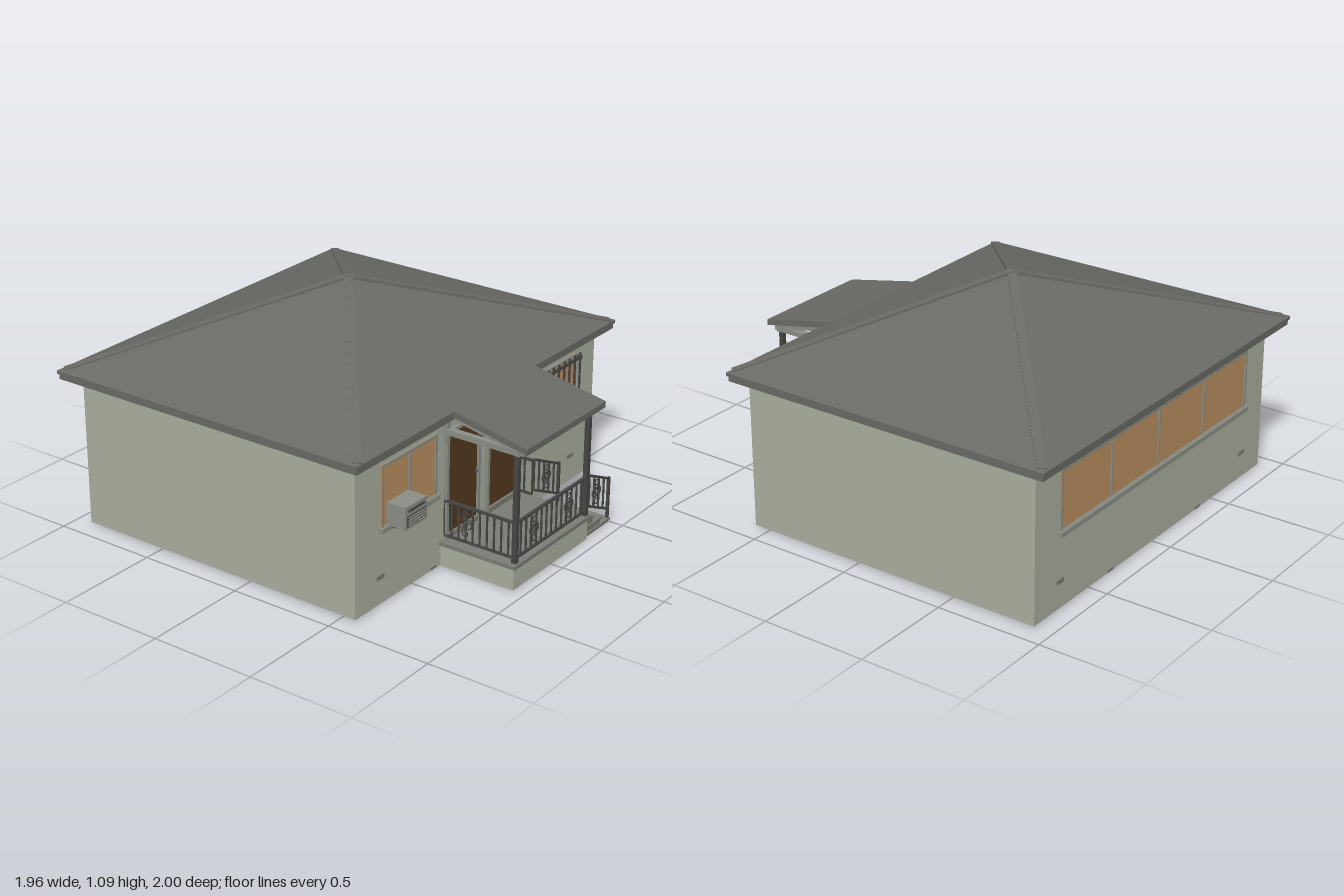
import * as THREE from 'three';

const mat = (name, color, side = THREE.FrontSide) => {
  const m = new THREE.MeshStandardMaterial({ color, side });
  m.name = name;
  return m;
};

export function createModel() {
  const wall = mat('wall paint', 0xaaae9e);
  const roofing = mat('roofing', 0x696965);
  const trim = mat('trim', 0x8b8e86);
  const glass = mat('window pane', 0xb98f62);
  const wood = mat('door wood', 0x543a1e);
  const iron = mat('iron', 0x464644);
  const stone = mat('concrete', 0x7b7c75);

  const house = new THREE.Group();
  house.name = 'house';
  const group = (name, parent = house) => {
    const g = new THREE.Group();
    g.name = name;
    parent.add(g);
    return g;
  };
  const add = (parent, name, geo, material) => {
    const m = new THREE.Mesh(geo, material);
    m.name = name;
    parent.add(m);
    return m;
  };
  // box given by its two extreme corners
  const box = (parent, name, material, x0, x1, y0, y1, z0, z1) => {
    const m = add(parent, name, new THREE.BoxGeometry(x1 - x0, y1 - y0, z1 - z0), material);
    m.position.set((x0 + x1) / 2, (y0 + y1) / 2, (z0 + z1) / 2);
    return m;
  };
  // square bar between two points
  const bar = (parent, name, material, a, b, w, h = w) => {
    const p = new THREE.Vector3(...a), q = new THREE.Vector3(...b);
    const m = add(parent, name, new THREE.BoxGeometry(w, h, p.distanceTo(q)), material);
    m.position.copy(p).add(q).multiplyScalar(0.5);
    m.lookAt(q);
    return m;
  };
  // side profile of [z, y] points, extruded from x0 to x1
  const prism = (parent, name, material, pts, x0, x1) => {
    const shape = new THREE.Shape(pts.map(p => new THREE.Vector2(...p)));
    const geo = new THREE.ExtrudeGeometry(shape, { depth: x1 - x0, bevelEnabled: false });
    geo.rotateY(-Math.PI / 2).translate(x1, 0, 0);
    return add(parent, name, geo, material);
  };

  // Walls
  box(house, 'walls', wall, -0.91, 0.91, 0.01, 0.715, -0.915, 0.57);

  // Hip roof: eaves slab, four slopes and hip caps
  const roof = group('roof');
  box(roof, 'eaves', roofing, -0.975, 0.975, 0.71, 0.74, -0.993, 0.628);
  box(roof, 'gutter', roofing, -0.982, 0.982, 0.735, 0.75, -1, 0.635);
  const apex = [0, 1.083, -0.155];
  const corners = [[-0.982, 0.75, 0.635], [0.982, 0.75, 0.635], [0.982, 0.75, -1], [-0.982, 0.75, -1]];
  const slopes = [];
  corners.forEach((c, i) => slopes.push(...c, ...corners[(i + 1) % 4], ...apex));
  const slopeGeo = new THREE.BufferGeometry();
  slopeGeo.setAttribute('position', new THREE.Float32BufferAttribute(slopes, 3));
  slopeGeo.computeVertexNormals();
  add(roof, 'slopes', slopeGeo, roofing);
  corners.forEach(c => bar(roof, 'hipCap', roofing, [c[0] * 0.975, c[1] + 0.003, c[2] * 0.975], apex, 0.04, 0.014));

  // Window on the front (s = 1) or back (s = -1) wall
  const windowUnit = (name, x0, x1, y0, y1, panes, s) => {
    const g = group(name);
    const w = s > 0 ? 0.57 : -0.915;
    const plate = (n, m, a, b, c, d, t) => box(g, n, m, a, b, c, d, Math.min(w, w + s * t), Math.max(w, w + s * t));
    plate('pane', glass, x0, x1, y0, y1, 0.004);
    const f = 0.012;
    plate('frameTop', trim, x0, x1, y1 - f, y1, 0.012);
    plate('frameBottom', trim, x0, x1, y0, y0 + f, 0.012);
    for (let i = 0; i <= panes; i++) {
      const x = x0 + f / 2 + (x1 - x0 - f) * i / panes;
      const h = i === 0 || i === panes ? f / 2 : 0.004;
      plate('mullion', trim, x - h, x + h, y0, y1, 0.011);
    }
    plate('sill', trim, x0 - 0.01, x1 + 0.01, y0 - 0.012, y0 + 0.01, 0.022);
    return g;
  };
  windowUnit('frontRightWindow', -0.74, -0.35, 0.358, 0.65, 2, 1);
  const barred = windowUnit('frontLeftWindow', 0.335, 0.745, 0.358, 0.65, 2, 1);
  windowUnit('backWindow', -0.74, 0.74, 0.362, 0.65, 4, -1);

  // Security bars
  for (let i = 0; i < 10; i++) {
    const x = 0.338 + i * 0.0445;
    box(barred, 'upright', iron, x - 0.004, x + 0.004, 0.34, 0.66, 0.598, 0.606);
  }
  for (const y of [0.42, 0.635]) {
    box(barred, 'crossBar', iron, 0.325, 0.755, y - 0.006, y + 0.006, 0.594, 0.604);
    for (const x of [0.33, 0.75]) box(barred, 'bracket', iron, x - 0.005, x + 0.005, y - 0.005, y + 0.005, 0.57, 0.598);
  }

  // Air conditioner
  const cooler = group('airConditioner');
  box(cooler, 'case', trim, -0.7, -0.55, 0.365, 0.468, 0.57, 0.67);
  box(cooler, 'grille', iron, -0.69, -0.56, 0.375, 0.425, 0.67, 0.674);
  for (let i = 0; i < 4; i++) box(cooler, 'slat', trim, -0.685, -0.565, 0.38 + i * 0.012, 0.385 + i * 0.012, 0.674, 0.678);
  box(cooler, 'controlStrip', iron, -0.68, -0.57, 0.442, 0.452, 0.67, 0.673);
  for (const x of [-0.68, -0.57]) bar(cooler, 'support', iron, [x, 0.35, 0.57], [x, 0.365, 0.66], 0.008);

  // Doors
  for (const [name, x0, x1, knob] of [['rightDoor', -0.27, -0.05, -0.065], ['leftDoor', 0.04, 0.26, 0.245]]) {
    const g = group(name);
    box(g, 'leaf', wood, x0, x1, 0.15, 0.62, 0.57, 0.578);
    for (const x of [x0 - 0.008, x1 + 0.008]) box(g, 'jamb', trim, x - 0.008, x + 0.008, 0.125, 0.635, 0.57, 0.588);
    box(g, 'lintel', trim, x0, x1, 0.62, 0.635, 0.57, 0.588);
    box(g, 'threshold', stone, x0, x1, 0.12, 0.15, 0.57, 0.59);
    add(g, 'knob', new THREE.SphereGeometry(0.008, 10, 8), iron).position.set(knob, 0.37, 0.585);
  }
  box(house, 'porchLamp', iron, -0.055, -0.035, 0.5, 0.55, 0.57, 0.6);

  // Porch base and steps
  const porch = group('porch');
  box(porch, 'base', wall, -0.305, 0.285, 0.005, 0.11, 0.565, 0.945);
  box(porch, 'floor', stone, -0.315, 0.295, 0.107, 0.125, 0.565, 0.957);
  [[0.363, 0.09], [0.43, 0.055], [0.5, 0.022]].forEach(([x, y]) => {
    box(porch, 'step', stone, 0.285, x - 0.006, 0, y - 0.008, 0.65, 0.928);
    box(porch, 'tread', stone, 0.285, x, y - 0.01, y, 0.642, 0.935);
  });

  // Porch roof, beams and posts
  prism(porch, 'canopy', roofing, [[1, 0.65], [1, 0.678], [0.615, 0.757], [0.615, 0.728]], -0.312, 0.302);
  for (const x of [-0.283, 0.273]) {
    box(porch, 'post', iron, x - 0.011, x + 0.011, 0.125, 0.63, 0.925, 0.947);
    box(porch, 'sideBeam', trim, x - 0.015, x + 0.015, 0.627, 0.652, 0.57, 0.95);
    box(porch, 'wallBracket', trim, x - 0.012, x + 0.012, 0.585, 0.715, 0.57, 0.59);
    prism(porch, 'rafter', trim, [[0.97, 0.63], [0.97, 0.658], [0.59, 0.735], [0.59, 0.71]], x - 0.012, x + 0.012);
  }
  box(porch, 'frontBeam', trim, -0.3, 0.292, 0.627, 0.668, 0.925, 0.955);

  // Railings: rails and balusters between two top points
  const railing = (name, a, b, n, h) => {
    const g = group(name, porch);
    const low = p => [p[0], p[1] - h, p[2]];
    bar(g, 'topRail', iron, a, b, 0.014, 0.01);
    bar(g, 'bottomRail', iron, low(a), low(b), 0.01);
    for (let i = 0; i <= n; i++) {
      const p = a.map((v, k) => v + (b[k] - v) * i / n);
      bar(g, 'baluster', iron, p, low(p), 0.007);
    }
    return g;
  };
  // scroll ornament made of stacked rings
  const scroll = (parent, x, y, z, turn = 0) => {
    for (const [dx, dy, r] of [[0, 0.045, 0.014], [0, -0.045, 0.014], [0.012, 0, 0.022], [-0.012, 0, 0.022]]) {
      const ring = add(parent, 'scroll', new THREE.TorusGeometry(r, 0.003, 6, 14), iron);
      ring.position.set(x + dx * Math.cos(turn), y + dy, z + dx * Math.sin(turn));
      ring.rotation.y = turn;
    }
  };
  const front = railing('frontRailing', [-0.283, 0.312, 0.937], [0.273, 0.312, 0.937], 14, 0.165);
  for (const x of [-0.14, 0.135]) scroll(front, x, 0.23, 0.937);
  const side = railing('sideRailing', [-0.283, 0.312, 0.575], [-0.283, 0.312, 0.937], 10, 0.165);
  scroll(side, -0.283, 0.23, 0.68, Math.PI / 2);
  for (const z of [0.66, 0.922]) {
    const g = railing('stairRailing', [0.285, 0.312, z], [0.492, 0.215, z], 5, 0.15);
    box(g, 'newel', iron, 0.487, 0.499, 0.02, 0.222, z - 0.006, z + 0.006);
    scroll(g, 0.39, 0.19, z);
  }
  railing('returnRailing', [0.273, 0.312, 0.575], [0.273, 0.312, 0.66], 2, 0.165);

  // Foundation vents, front and back
  for (const z of [0.571, -0.916]) {
    for (const x of [-0.74, 0.73]) box(house, 'vent', stone, x - 0.024, x + 0.024, 0.128, 0.148, z - 0.004, z + 0.004);
    for (const x of [-0.36, 0.35]) box(house, 'lowVent', stone, x - 0.02, x + 0.02, 0.014, 0.026, z - 0.004, z + 0.004);
  }
  return house;
}
